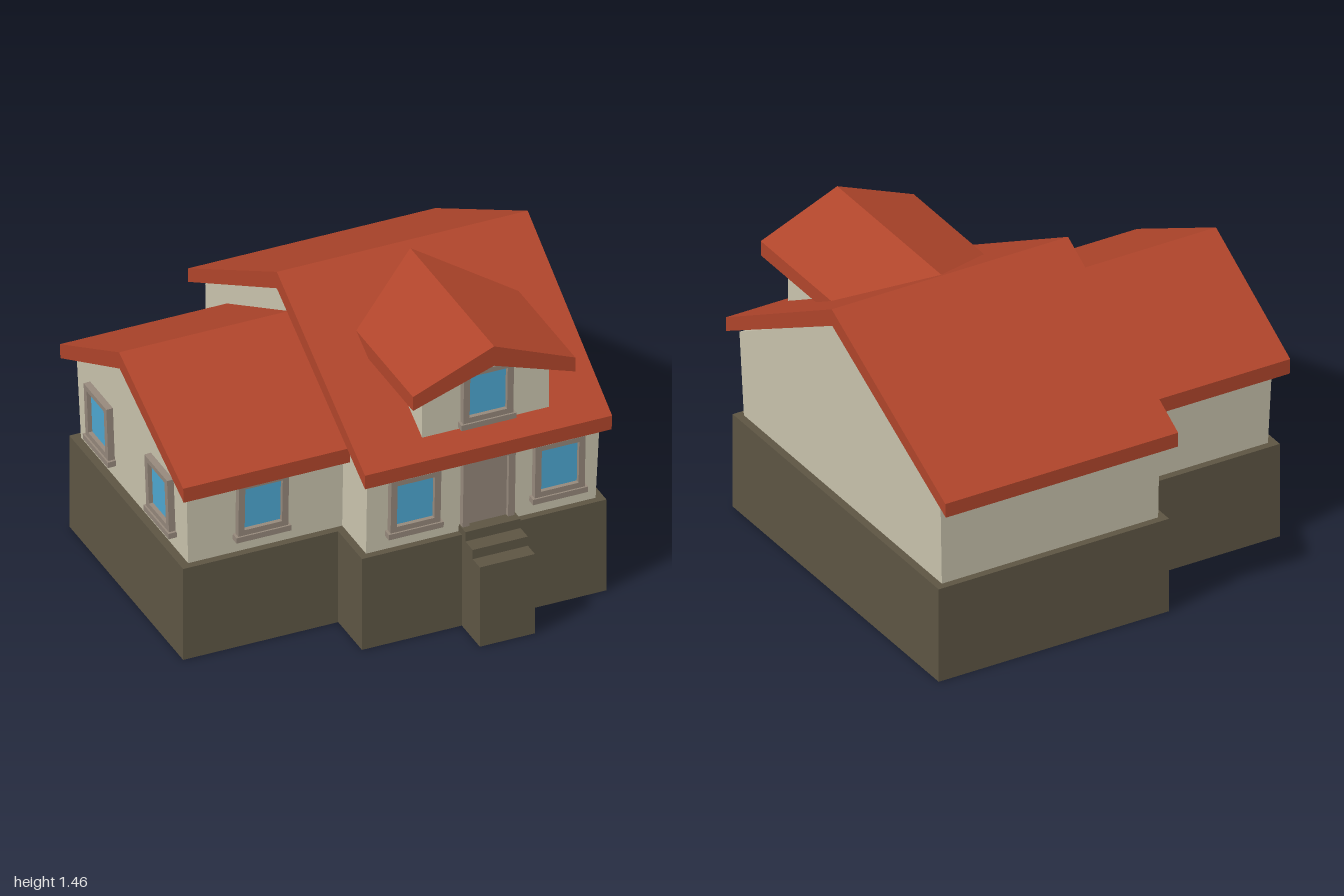
import * as THREE from 'three';

const mat = (color) => new THREE.MeshStandardMaterial({ color, flatShading: true });
const FLARE = 0.035; // walls lean outwards slightly as they rise
const BASE_Y = 0.47;

export function createModel() {
  const house = new THREE.Group();
  house.name = 'house';
  const roofMat = mat(0xb0452b), wallMat = mat(0xc9c3ad), stoneMat = mat(0x5d5543);
  const trimMat = mat(0x95887b), glassMat = mat(0x4ea8d2);

  function add(parent, name, geometry, material) {
    const mesh = new THREE.Mesh(geometry, material);
    mesh.name = name;
    parent.add(mesh);
    return mesh;
  }

  function block(parent, name, material, x0, x1, y0, y1, z0, z1) {
    const geo = new THREE.BoxGeometry(x1 - x0, y1 - y0, z1 - z0);
    geo.translate((x0 + x1) / 2, (y0 + y1) / 2, (z0 + z1) / 2);
    return add(parent, name, geo, material);
  }

  // Prism of a 2D outline between two depths along z
  function prism(points, z0, z1, hole) {
    const shape = new THREE.Shape(points.map(([x, y]) => new THREE.Vector2(x, y)));
    if (hole) shape.holes.push(new THREE.Path(hole.map(([x, y]) => new THREE.Vector2(x, y))));
    const geo = new THREE.ExtrudeGeometry(shape, { depth: z1 - z0, bevelEnabled: false });
    return geo.translate(0, 0, z0);
  }

  // Prism of a (z, y) outline along x; the outer end leans out with height
  function sidePrism(points, x0, x1, outer, leanFrom) {
    const geo = prism(points.map(([z, y]) => [-z, y]), x0, x1).rotateY(Math.PI / 2);
    const p = geo.attributes.position;
    for (let i = 0; i < p.count; i++) {
      const x = p.getX(i), atOuter = outer > 0 ? x > (x0 + x1) / 2 : x < (x0 + x1) / 2;
      if (atOuter) p.setX(i, x + outer * FLARE * Math.max(0, p.getY(i) - leanFrom));
    }
    geo.computeVertexNormals();
    return geo;
  }

  const rect = (x0, x1, y0, y1) => [[x0, y0], [x1, y0], [x1, y1], [x0, y1]];

  // Chevron outline of a pitched roof slab with plumb-cut eaves
  const chevron = (a, mid, b, eave, ridge, drop, ridgeDrop) => [
    [a, eave - drop], [mid, ridge - ridgeDrop], [b, eave - drop],
    [b, eave], [mid, ridge], [a, eave],
  ];

  // Gabled wall outline, running up to the underside of the roof
  const gable = (a, b, mid, eaveY, ridgeY) => [
    [a, BASE_Y], [b, BASE_Y], [b + 0.013, eaveY], [mid, ridgeY], [a - 0.013, eaveY],
  ];

  // Foundations
  block(house, 'mainFoundation', stoneMat, -0.21, 0.965, 0, BASE_Y, -0.94, 0.81);
  block(house, 'wingFoundation', stoneMat, -0.955, -0.2, 0, BASE_Y, -0.64, 0.56);

  // Walls
  add(house, 'mainWalls',
    sidePrism(gable(-0.905, 0.777, -0.065, 0.892, 1.375), -0.175, 0.928, 1, BASE_Y), wallMat);
  add(house, 'wingWalls',
    sidePrism(gable(-0.605, 0.525, -0.04, 0.882, 1.175), -0.915, -0.16, -1, BASE_Y), wallMat);

  // Roofs
  add(house, 'mainRoof',
    sidePrism(chevron(-1, -0.065, 0.865, 0.935, 1.455, 0.07, 0.085), -0.22, 0.965, 1, 0.865), roofMat);
  add(house, 'wingRoof',
    sidePrism(chevron(-0.69, -0.04, 0.61, 0.92, 1.255, 0.073, 0.085), -0.975, -0.17, -1, 0.845), roofMat);

  // Dormer, running back into the main roof
  const dormer = new THREE.Group();
  dormer.name = 'dormer';
  house.add(dormer);
  add(dormer, 'dormerWalls', prism(
    [[0.1, 0.97], [0.71, 0.97], [0.71, 1.232], [0.405, 1.345], [0.1, 1.232]], 0, 0.765), wallMat);
  add(dormer, 'dormerRoof', prism(
    chevron(0.015, 0.405, 0.795, 1.275, 1.435, 0.072, 0.1), -0.03, 0.855), roofMat);

  // Window: frame around recessed glass, with a sill below
  function makeWindow(name, x, y, z, turn = 0) {
    const pivot = new THREE.Group(), win = new THREE.Group();
    pivot.name = name;
    pivot.position.set(x, y, z);
    pivot.rotation.y = turn;
    win.rotation.x = FLARE;
    pivot.add(win);
    house.add(pivot);
    add(win, 'windowFrame',
      prism(rect(-0.12, 0.12, 0.025, 0.295), -0.02, 0.03, rect(-0.09, 0.09, 0.055, 0.27)), trimMat);
    block(win, 'windowSill', trimMat, -0.132, 0.132, 0, 0.028, -0.02, 0.038);
    block(win, 'windowGlass', glassMat, -0.092, 0.092, 0.053, 0.272, -0.02, 0.01);
  }
  makeWindow('mainRightWindow', 0.047, 0.54, 0.781);
  makeWindow('mainLeftWindow', 0.74, 0.54, 0.781);
  makeWindow('wingFrontWindow', -0.57, 0.54, 0.529);
  makeWindow('dormerWindow', 0.405, 1.0, 0.762);
  for (const z of [-0.36, 0.28]) makeWindow('wingSideWindow', -0.919, 0.54, z, -Math.PI / 2);

  // Door with its frame
  const door = new THREE.Group();
  door.name = 'door';
  door.position.set(0.4, BASE_Y, 0.777);
  door.rotation.x = FLARE;
  house.add(door);
  add(door, 'doorFrame',
    prism(rect(-0.125, 0.125, 0, 0.4), -0.02, 0.03, rect(-0.093, 0.093, 0.015, 0.36)), trimMat);
  block(door, 'doorPanel', trimMat, -0.095, 0.095, 0.01, 0.362, -0.02, 0.01);

  // Front steps
  add(house, 'frontSteps', sidePrism([
    [0.77, 0], [1, 0], [1, 0.41], [0.925, 0.41], [0.925, 0.457],
    [0.848, 0.457], [0.848, 0.505], [0.77, 0.505],
  ], 0.27, 0.535, 1, 9), stoneMat);

  return house;
}
